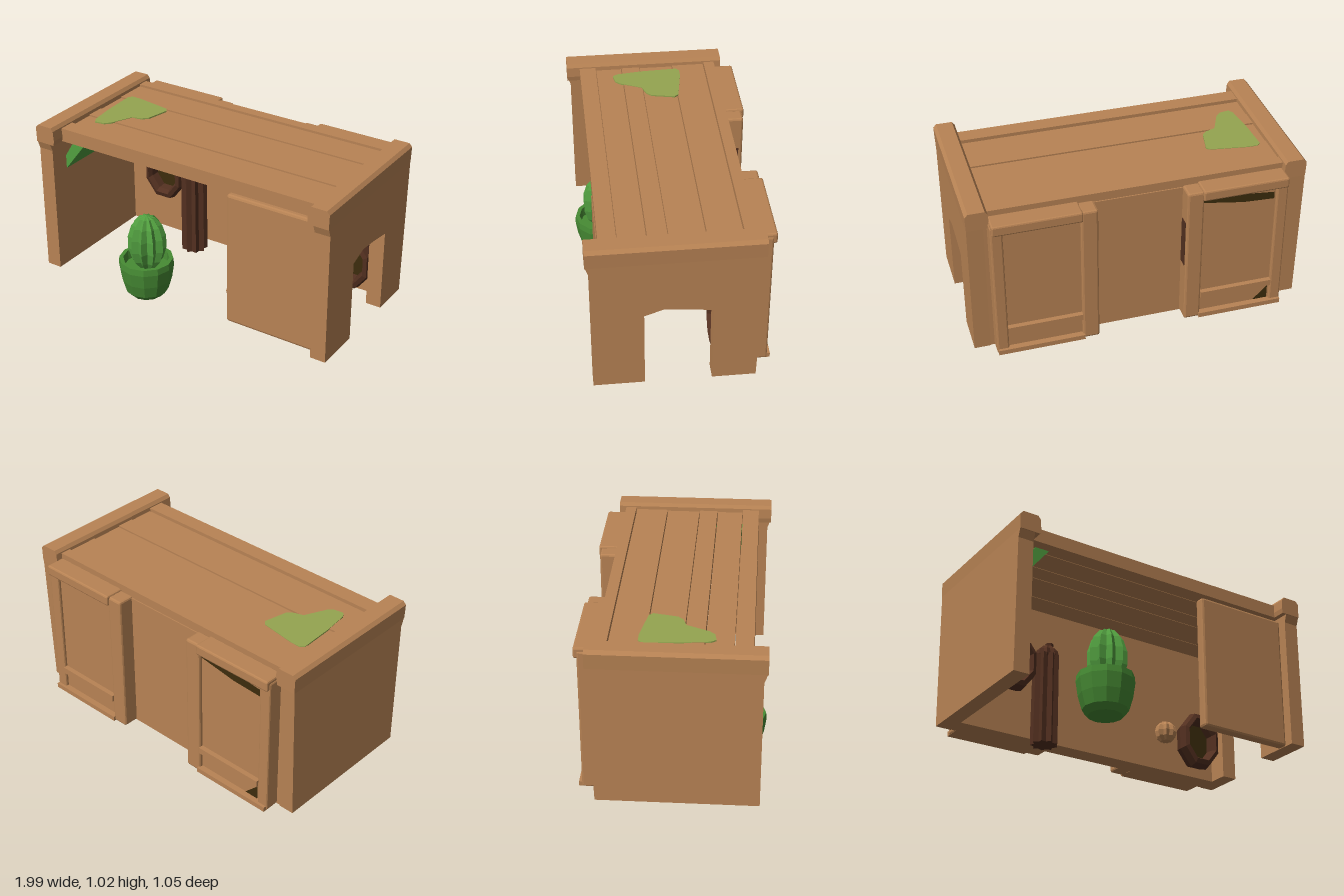
import * as THREE from 'three';
import { RoundedBoxGeometry } from 'three/addons/geometries/RoundedBoxGeometry.js';

const mat = (name, color, side = THREE.FrontSide) => {
  const m = new THREE.MeshStandardMaterial({ color, side });
  m.name = name;
  return m;
};

// Faceted normals for the low-poly look
function flat(geo) {
  const g = geo.index ? geo.toNonIndexed() : geo;
  g.computeVertexNormals();
  return g;
}

// Sphere whose radius alternates between ridges and grooves
function ribbed(ribs, rows, depth) {
  const g = new THREE.SphereGeometry(1, ribs * 2, rows);
  const p = g.attributes.position;
  for (let i = 0; i < p.count; i++) {
    const a = Math.atan2(p.getZ(i), p.getX(i));
    const k = 1 - depth * (0.5 - 0.5 * Math.cos(a * ribs));
    p.setX(i, p.getX(i) * k);
    p.setZ(i, p.getZ(i) * k);
  }
  return g;
}

const lathe = (pts, n) => new THREE.LatheGeometry(pts.map(p => new THREE.Vector2(...p)), n);
const shapeOf = pts => new THREE.Shape(pts.map(p => new THREE.Vector2(...p)));
const extrude = (pts, depth) => new THREE.ExtrudeGeometry(shapeOf(pts), { depth, bevelEnabled: false });

export function createModel() {
  const group = new THREE.Group();
  const wood = mat('wood', 0xb88354);
  const bark = mat('dark bark', 0x533020, THREE.DoubleSide);
  const hollow = mat('hollow olive', 0x3c2c0d, THREE.DoubleSide);
  const potGreen = mat('pot green', 0x478c34, THREE.DoubleSide);
  const cactusGreen = mat('cactus green', 0x52a040);
  const moss = mat('moss green', 0x94a550);

  const add = (name, geo, material, x = 0, y = 0, z = 0) => {
    const m = new THREE.Mesh(flat(geo), material);
    m.name = name;
    m.position.set(x, y, z);
    group.add(m);
    return m;
  };
  // Box given by its limits on each axis
  const box = (name, x0, x1, y0, y1, z0, z1, r = 0) => {
    const s = [Math.abs(x1 - x0), y1 - y0, z1 - z0];
    const g = r ? new RoundedBoxGeometry(...s, 1, r) : new THREE.BoxGeometry(...s);
    return add(name, g, wood, (x0 + x1) / 2, (y0 + y1) / 2, (z0 + z1) / 2);
  };

  // Side walls, drawn in z and y; the left one has an arched doorway
  const door = [[-0.17, 0.065], [-0.17, 0.57], [-0.02, 0.59], [0.1, 0.6], [0.21, 0.56], [0.21, 0.065]];
  for (const [name, x, cut] of [['leftWall', 0.99, door], ['rightWall', -0.895, []]]) {
    const g = extrude([[0.5, 0.065], [0.5, 0.87], [0.52, 0.925], [-0.447, 0.925], [-0.42, 0.065], ...cut], 0.095);
    g.rotateY(-Math.PI / 2);
    add(name, g, wood, x);
  }

  for (const s of [1, -1]) {
    // Chamfered caps flush with the outside of the walls
    const cap = [[0.865, 0.92], [0.86, 0.95], [0.865, 1.01], [0.88, 1.03], [0.975, 1.03], [0.993, 1.01], [0.99, 0.92]];
    add('endCap', extrude(cap.map(([x, y]) => [s * x, y]), 0.972), wood, 0, 0, -0.45);

    // Back frames: recessed panel, stiles and rails
    box('backPanel', s * 0.28, s * 0.86, 0.09, 0.95, -0.485, -0.41);
    box('innerStile', s * 0.26, s * 0.36, 0.065, 0.96, -0.51, -0.4, 0.012);
    box('outerStile', s * 0.8, s * 0.87, 0.065, 0.95, -0.505, -0.4, 0.01);
    box('topRail', s * 0.35, s * 0.865, 0.905, 0.97, -0.525, -0.4, 0.01);
    box('middleRail', s * 0.36, s * 0.8, 0.205, 0.245, -0.515, -0.45);
    box('bottomRail', s * 0.35, s * 0.865, 0.065, 0.095, -0.522, -0.4);

    // Green corner braces under the top
    const brace = [[0.9, 0.7], [0.9, 0.785], [0.81, 0.93], [0.72, 0.93]];
    add('cornerBrace', extrude(brace.map(([x, y]) => [s * x, y]), 0.56), cactusGreen, 0, 0, -0.18);
  }
  // Dark gaps in one back frame, and a strip of bark on its stile
  const gap = (name, pts) => add(name, new THREE.ShapeGeometry(shapeOf(pts)), hollow, 0, 0, -0.492);
  gap('upperGap', [[-0.36, 0.905], [-0.6, 0.89], [-0.79, 0.87], [-0.79, 0.825], [-0.6, 0.835], [-0.36, 0.875]]);
  gap('lowerGap', [[-0.7, 0.1], [-0.79, 0.19], [-0.79, 0.1]]);
  add('barkStrip', new THREE.BoxGeometry(0.006, 0.3, 0.06), bark, -0.259, 0.6, -0.455);

  // Thick back wall and front panel
  box('backWall', -0.9, 0.9, 0.065, 0.95, -0.415, -0.29);
  box('frontPanel', 0.3, 0.9, 0.065, 0.9, 0.38, 0.445, 0.015);

  // Top planks with narrow gaps
  const edges = [-0.41, -0.34, -0.14, 0.065, 0.18, 0.34, 0.445];
  for (let i = 0; i < 6; i++) {
    const lip = i === 0 || i === 5;
    box('topPlank', -0.88, 0.88, 0.92, lip ? 1.003 : 0.985 + (i % 2) * 0.006,
      edges[i] + 0.002, edges[i + 1] - 0.003);
  }

  // Moss patch on the top
  const patch = extrude([[-0.82, 0.16], [-0.8, 0.18], [-0.74, 0.18], [-0.52, 0.145], [-0.5, 0.12], [-0.53, -0.02],
    [-0.56, -0.05], [-0.62, -0.07], [-0.68, -0.2], [-0.71, -0.23], [-0.77, -0.24], [-0.79, -0.21], [-0.81, -0.05]], 0.008);
  patch.rotateX(-Math.PI / 2);
  add('mossPatch', patch, moss, 0, 0.986, 0);

  // Potted cactus
  add('pot', lathe([[0, 0.005], [0.1, 0.005], [0.132, 0.04], [0.155, 0.12], [0.168, 0.21], [0.164, 0.25],
    [0.14, 0.25], [0.135, 0.19], [0, 0.19]], 12), potGreen, -0.33, 0, 0.36);
  add('cactus', ribbed(10, 7, 0.25), cactusGreen, -0.32, 0.36, 0.36).scale.set(0.118, 0.185, 0.118);
  add('cactusBall', ribbed(9, 6, 0.2), wood, 0.205, 0.09, 0.18).scale.setScalar(0.066);

  // Ridged trunk with a rounded crown and a stub on top
  const trunk = new THREE.CylinderGeometry(0.08, 0.082, 0.575, 18, 4);
  const p = trunk.attributes.position;
  for (let i = 0; i < p.count; i++) {
    const a = Math.atan2(p.getZ(i), p.getX(i));
    const k = 0.9 + 0.12 * Math.sin(a * 9) + 0.03 * Math.sin(p.getY(i) * 23);
    p.setX(i, p.getX(i) * k);
    p.setZ(i, p.getZ(i) * k);
  }
  add('trunk', trunk, bark, -0.38, 0.305, -0.23);
  add('trunkCrown', ribbed(9, 6, 0.2), bark, -0.375, 0.59, -0.23).scale.set(0.075, 0.075, 0.075);
  add('trunkStub', new THREE.CylinderGeometry(0.026, 0.018, 0.05, 6), bark, -0.36, 0.655, -0.23);

  // Hollow log ends on the back wall
  for (const [x, y] of [[-0.595, 0.51], [0.75, 0.29]]) {
    const ring = lathe([[0.13, 0], [0.146, 0.06], [0.136, 0.11], [0.112, 0.12], [0.098, 0.09], [0.092, 0.02]], 8);
    ring.rotateY(Math.PI / 8).rotateX(Math.PI / 2).scale(1, 1.32, 1);
    add('hollowLog', ring, bark, x, y, -0.3);
    const disc = new THREE.CircleGeometry(0.105, 8);
    disc.rotateZ(Math.PI / 8).scale(1, 1.32, 1);
    add('logHollow', disc, hollow, x, y, -0.26);
  }
  return group;
}
